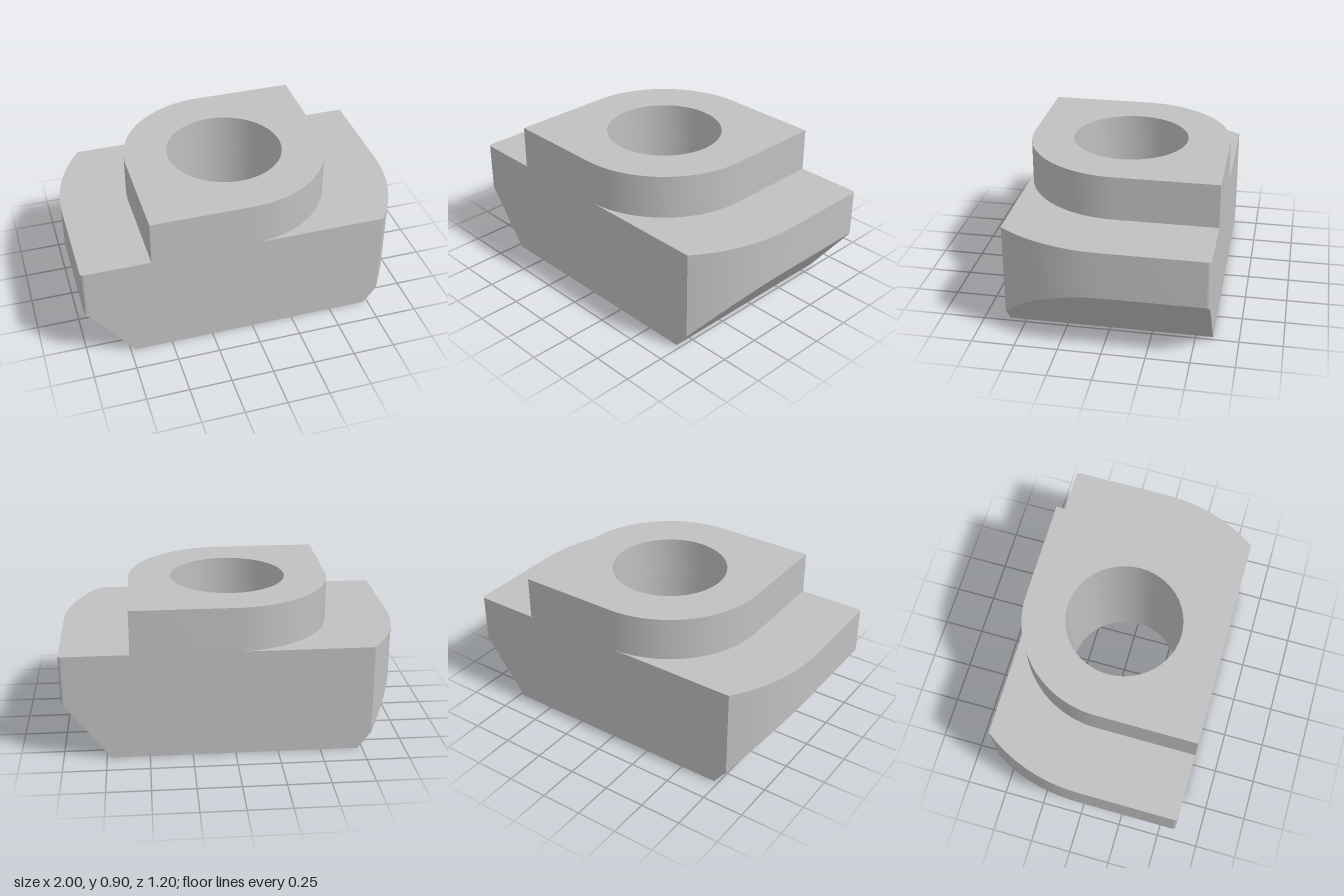
import * as THREE from 'three';
import { toCreasedNormals } from 'three/addons/utils/BufferGeometryUtils.js';

const FLAT = 0.723;   // half width of the flat underside
const SLOPE = 1.3;    // rise of the bevelled underside per unit of x
const BASE_H = 0.64, TOP_H = 0.902, HALF_Z = 0.6, HOLE_R = 0.345;

// Upright extrusion of a plan shape (shape y = -z)
function prism(shape, y0, y1, curveSegments) {
  const g = new THREE.ExtrudeGeometry(shape, { depth: y1 - y0, bevelEnabled: false, curveSegments });
  return g.rotateX(-Math.PI / 2).translate(0, y0, 0).toNonIndexed();
}

// Remove the triangles lying wholly in the plane axis = value (hidden joints)
function dropPlane(geometry, axis, value) {
  const p = geometry.attributes.position, kept = [];
  for (let i = 0; i < p.count; i += 3) {
    const tri = [0, 1, 2].map(k => new THREE.Vector3().fromBufferAttribute(p, i + k));
    if (tri.some(v => Math.abs(v[axis] - value) > 1e-4)) tri.forEach(v => kept.push(v.x, v.y, v.z));
  }
  const g = new THREE.BufferGeometry();
  g.setAttribute('position', new THREE.Float32BufferAttribute(kept, 3));
  return g;
}

function addHole(shape) {
  shape.holes.push(new THREE.Path().absarc(0, 0, HOLE_R, 0, Math.PI * 2, true));
  return shape;
}

export function createModel() {
  const group = new THREE.Group();
  const steel = new THREE.MeshStandardMaterial({ color: 0xc0c0c0 });
  steel.name = 'steel grey';

  const add = (name, geometry) => {
    const mesh = new THREE.Mesh(toCreasedNormals(geometry, 0.5), steel);
    mesh.name = name;
    group.add(mesh);
    return mesh;
  };

  // Middle of the base with the bore, open where the ends join
  const middle = addHole(new THREE.Shape([
    new THREE.Vector2(-FLAT, -HALF_Z), new THREE.Vector2(FLAT, -HALF_Z),
    new THREE.Vector2(FLAT, HALF_Z), new THREE.Vector2(-FLAT, HALF_Z),
  ]));
  add('baseMiddle', dropPlane(dropPlane(prism(middle, 0, BASE_H, 24), 'x', FLAT), 'x', -FLAT));

  // Base ends: one swept corner, one eased corner, underside raised along a slope
  const r = 0.02;
  const end = new THREE.Shape();
  end.moveTo(FLAT, -HALF_Z);
  end.lineTo(0.8, -HALF_Z);
  end.absarc(0, 0, 1, Math.atan2(-0.6, 0.8), 0, false);
  end.lineTo(1, HALF_Z - r);
  end.absarc(1 - r, HALF_Z - r, r, 0, Math.PI / 2, false);
  end.lineTo(FLAT, HALF_Z);
  const endGeo = prism(end, 0, BASE_H, 5);
  const p = endGeo.attributes.position;
  for (let i = 0; i < p.count; i++) {
    if (p.getY(i) < 0.01) p.setY(i, Math.max(0, SLOPE * (p.getX(i) - FLAT)));
  }
  const endOpen = dropPlane(endGeo, 'x', FLAT);
  add('leftEnd', endOpen);
  add('rightEnd', endOpen).rotation.y = Math.PI;

  // Raised boss with two opposite rounded corners, open underneath
  const b = 0.6;
  const boss = new THREE.Shape();
  boss.moveTo(-b, -b);
  boss.lineTo(0, -b);
  boss.absarc(0, 0, b, -Math.PI / 2, 0, false);
  boss.lineTo(b, b);
  boss.lineTo(0, b);
  boss.absarc(0, 0, b, Math.PI / 2, Math.PI, false);
  boss.lineTo(-b, -b);
  add('boss', dropPlane(prism(addHole(boss), BASE_H, TOP_H, 24), 'y', BASE_H));

  return group;
}
